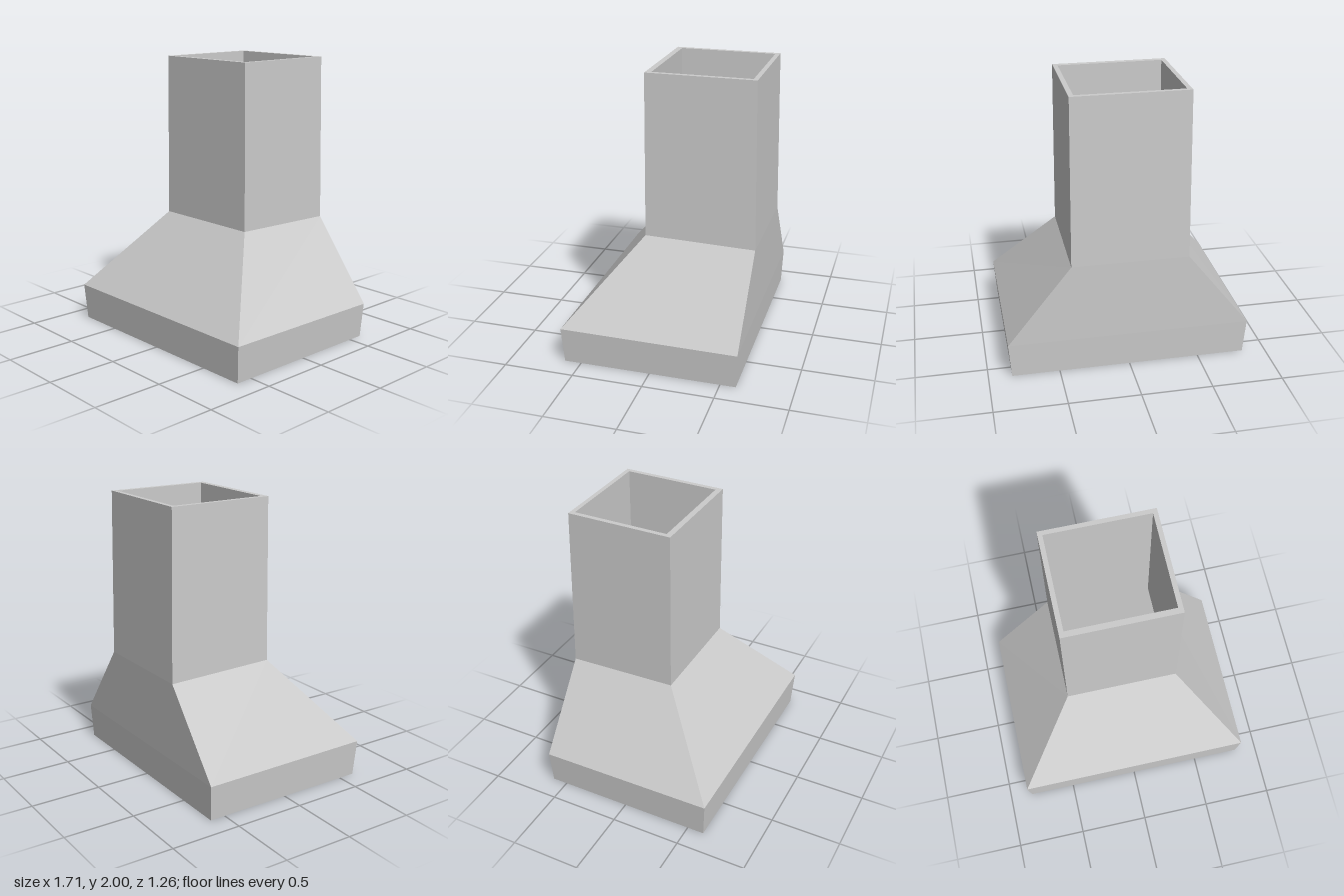
import * as THREE from 'three';

const material = new THREE.MeshStandardMaterial({ color: 0xcccccc, flatShading: true });

// Rectangular cross-section: half width, back z, front z, height at front and at back
const ring = (x, zb, zf, yf, yb = yf) => [[-x, yf, zf], [x, yf, zf], [x, yb, zb], [-x, yb, zb]];

// Flat-sided skin joining successive cross-sections
function loft(name, rings) {
  const pos = [];
  for (let r = 0; r < rings.length - 1; r++) {
    for (let i = 0; i < 4; i++) {
      const j = (i + 1) % 4;
      const [a, b, c, d] = [rings[r][i], rings[r][j], rings[r + 1][j], rings[r + 1][i]];
      pos.push(...a, ...b, ...c, ...a, ...c, ...d);
    }
  }
  const geo = new THREE.BufferGeometry();
  geo.setAttribute('position', new THREE.Float32BufferAttribute(pos, 3));
  geo.computeVertexNormals();
  const mesh = new THREE.Mesh(geo, material);
  mesh.name = name;
  return mesh;
}

function rectPath(path, x0, z0, x1, z1) {
  path.moveTo(x0, z0);
  path.lineTo(x1, z0);
  path.lineTo(x1, z1);
  path.lineTo(x0, z1);
  path.closePath();
  return path;
}

// Horizontal sheet with rectangular openings, given as [x0, z0, x1, z1]
function sheet(name, outline, holes, y, thickness) {
  const shape = rectPath(new THREE.Shape(), ...outline);
  shape.holes = holes.map((h) => rectPath(new THREE.Path(), ...h));
  const geo = new THREE.ExtrudeGeometry(shape, { depth: thickness, bevelEnabled: false });
  geo.rotateX(Math.PI / 2); // shape y becomes z, thickness runs downwards
  geo.translate(0, y + thickness, 0);
  const mesh = new THREE.Mesh(geo, material);
  mesh.name = name;
  return mesh;
}

export function createModel() {
  const model = new THREE.Group();
  model.name = 'rangeHood';

  const recessTop = ring(0.765, -0.54, 0.545, 0.08);
  const recessRim = ring(0.765, -0.54, 0.545, 0);
  const base = ring(0.835, -0.61, 0.62, 0);
  const shoulder = ring(0.855, -0.62, 0.635, 0.26, 0.25);
  const neck = ring(0.408, -0.63, 0.152, 0.84, 0.82);
  const top = ring(0.4, -0.61, 0.148, 2);
  const innerTop = ring(0.367, -0.578, 0.107, 2);
  const innerNeck = ring(0.37, -0.58, 0.107, 0.83, 0.81);
  const innerShoulder = ring(0.81, -0.58, 0.59, 0.25, 0.24);
  const innerBase = ring(0.8, -0.575, 0.58, 0.08);

  model.add(
    loft('skirt', [recessTop, recessRim, base, shoulder]),
    loft('canopy', [shoulder, neck]),
    loft('chimney', [neck, top, innerTop, innerNeck]),
    loft('canopyLining', [innerNeck, innerShoulder, innerBase])
  );

  // Floor inside the skirt with an opening for each filter
  const inner = 0.055, outer = 0.7, back = -0.48, front = 0.49;
  model.add(sheet('filterFrame', [-0.81, -0.58, 0.81, 0.59], [
    [-outer, back, -inner, front],
    [inner, back, outer, front],
  ], 0.07, 0.035));

  // Grease filters: a grille of square openings under a solid backing
  const cols = 9, rows = 13, bar = 0.028;
  const pitchX = (outer - inner - bar) / cols;
  const pitchZ = (front - back - bar) / rows;
  for (const side of [1, -1]) {
    const x0 = side > 0 ? inner : -outer;
    const filter = new THREE.Group();
    filter.name = side > 0 ? 'leftFilter' : 'rightFilter';
    const holes = [];
    for (let c = 0; c < cols; c++) {
      for (let r = 0; r < rows; r++) {
        const hx = x0 + bar + c * pitchX, hz = back + bar + r * pitchZ;
        holes.push([hx, hz, hx + pitchX - bar, hz + pitchZ - bar]);
      }
    }
    const outline = [x0, back, x0 + outer - inner, front];
    filter.add(
      sheet('grille', outline, holes, 0.07, 0.03),
      sheet('backing', outline, [], 0.1, 0.02)
    );
    model.add(filter);
  }

  return model;
}
